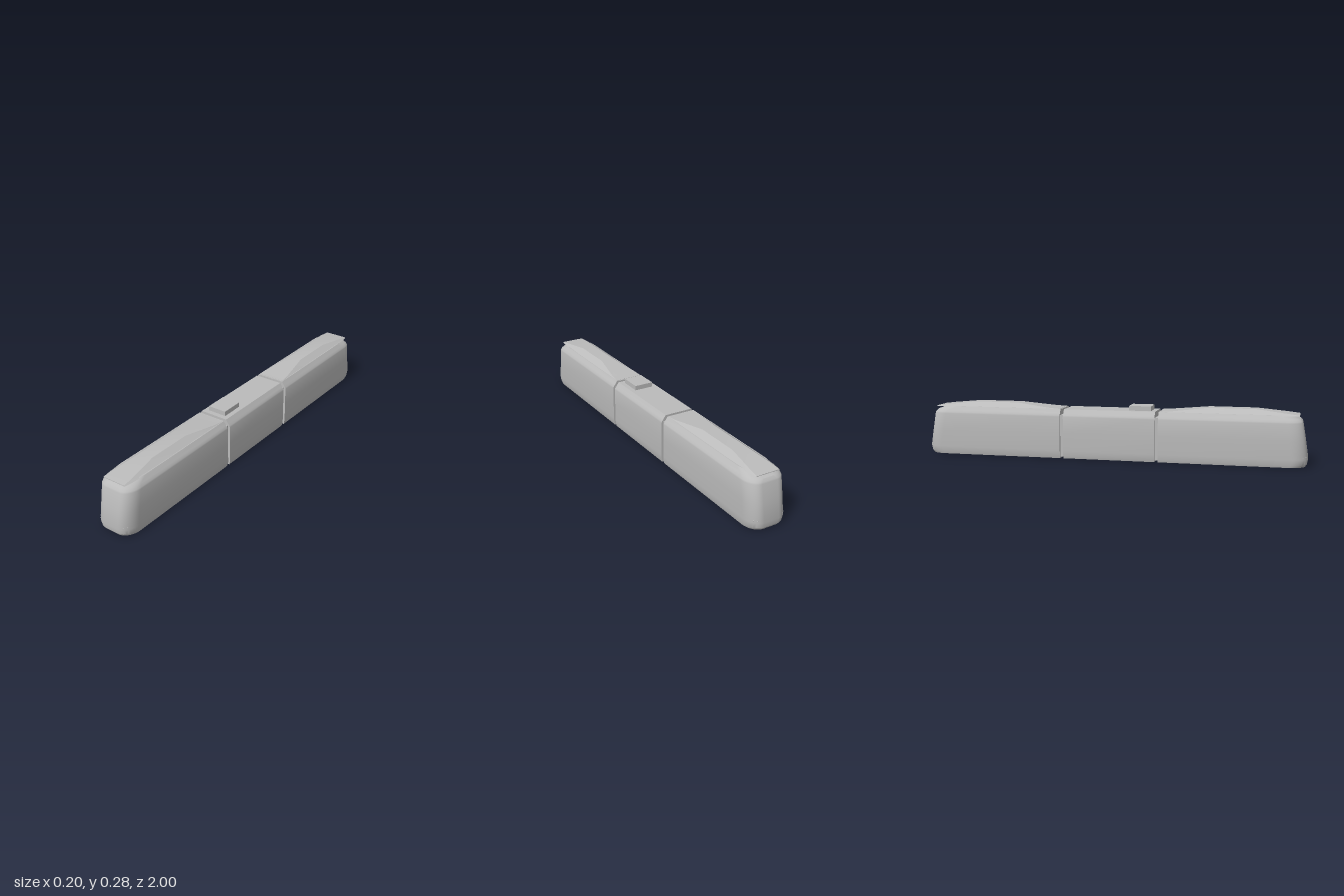
import * as THREE from 'three';
import { toCreasedNormals } from 'three/addons/utils/BufferGeometryUtils.js';

const paint = new THREE.MeshStandardMaterial({ color: 0xbbbbbb });
paint.name = 'light grey';

// Closed solid through a stack of equal-length convex rings, with flat caps
function loft(rings, crease = 0.45) {
  const n = rings[0].length;
  const index = [];
  for (let r = 0; r < rings.length - 1; r++) {
    for (let i = 0; i < n; i++) {
      const a = r * n + i, b = r * n + (i + 1) % n;
      index.push(a, a + n, b, b, a + n, b + n);
    }
  }
  const last = (rings.length - 1) * n;
  for (let i = 1; i < n - 1; i++) {
    index.push(0, i, i + 1, last, last + i + 1, last + i);
  }
  const geo = new THREE.BufferGeometry();
  geo.setAttribute('position', new THREE.Float32BufferAttribute(rings.flat(2), 3));
  geo.setIndex(index);
  return toCreasedNormals(geo, crease);
}

function add(parent, name, geometry, x = 0, y = 0, z = 0) {
  const mesh = new THREE.Mesh(geometry, paint);
  mesh.name = name;
  mesh.position.set(x, y, z);
  parent.add(mesh);
  return mesh;
}

// Height, half width and nose reach of each level of the body
const levels = [
  [0, 0.092, 0.986], [0.012, 0.0955, 0.995], [0.04, 0.098, 1.0],
  [0.13, 0.098, 0.986], [0.218, 0.098, 0.971], [0.225, 0.096, 0.968],
  [0.236, 0.088, 0.958], [0.255, 0.075, 0.91],
];

// Plan outline of an end car at one level, with rounded nose corners
function noseRing([y, w, end]) {
  const flat = w - 0.058, length = 0.08, steps = 10;
  const half = [[w, y, 0.258]];
  for (let i = 0; i <= steps; i++) {
    const a = (i / steps) * Math.PI / 2;
    half.push([flat + 0.058 * Math.cos(a), y, end - length * (1 - Math.sin(a))]);
  }
  return [...half, ...half.map(([x, h, z]) => [-x, h, z]).reverse()];
}

// Raised roof fairing: z, top height, top half width, base half width
function fairing() {
  const stations = [
    [0.265, 0.256, 0.072, 0.075], [0.32, 0.259, 0.066, 0.075],
    [0.505, 0.279, 0.036, 0.075], [0.74, 0.279, 0.036, 0.075],
    [0.9, 0.262, 0.056, 0.072], [0.955, 0.255, 0.06, 0.064],
  ];
  return loft(stations.map(([z, top, t, b]) => [
    [t, top, z], [b, 0.252, z], [-b, 0.252, z], [-t, top, z],
  ]), 0.3);
}

function endCar(name) {
  const car = new THREE.Group();
  car.name = name;
  add(car, 'endCarBody', loft(levels.map(noseRing)));
  add(car, 'roofFairing', fairing());
  // Small lamps near the lower nose corners
  for (const side of [-1, 1]) {
    for (const [x, z] of [[0.068, 0.988], [0.081, 0.974]]) {
      const lamp = add(car, 'lamp', new THREE.CylinderGeometry(0.002, 0.002, 0.006, 10), side * x, 0.05, z);
      lamp.rotation.x = Math.PI / 2;
    }
  }
  // Joint to the middle car
  add(car, 'joint', new THREE.BoxGeometry(0.172, 0.217, 0.03), 0, 0.1165, 0.249);
  return car;
}

export function createModel() {
  const model = new THREE.Group();
  model.name = 'articulatedTram';

  const front = endCar('frontCar');
  const rear = endCar('rearCar');
  rear.rotation.y = Math.PI;
  model.add(front, rear);

  // Middle car with square ends
  const middle = levels.map(([y, w]) => [
    [w, y, -0.24], [w, y, 0.24], [-w, y, 0.24], [-w, y, -0.24],
  ]);
  add(model, 'middleCarBody', loft(middle));

  // Equipment box on the middle roof
  add(model, 'roofBox', new THREE.BoxGeometry(0.1, 0.026, 0.115), 0, 0.266, 0.157);
  return model;
}
